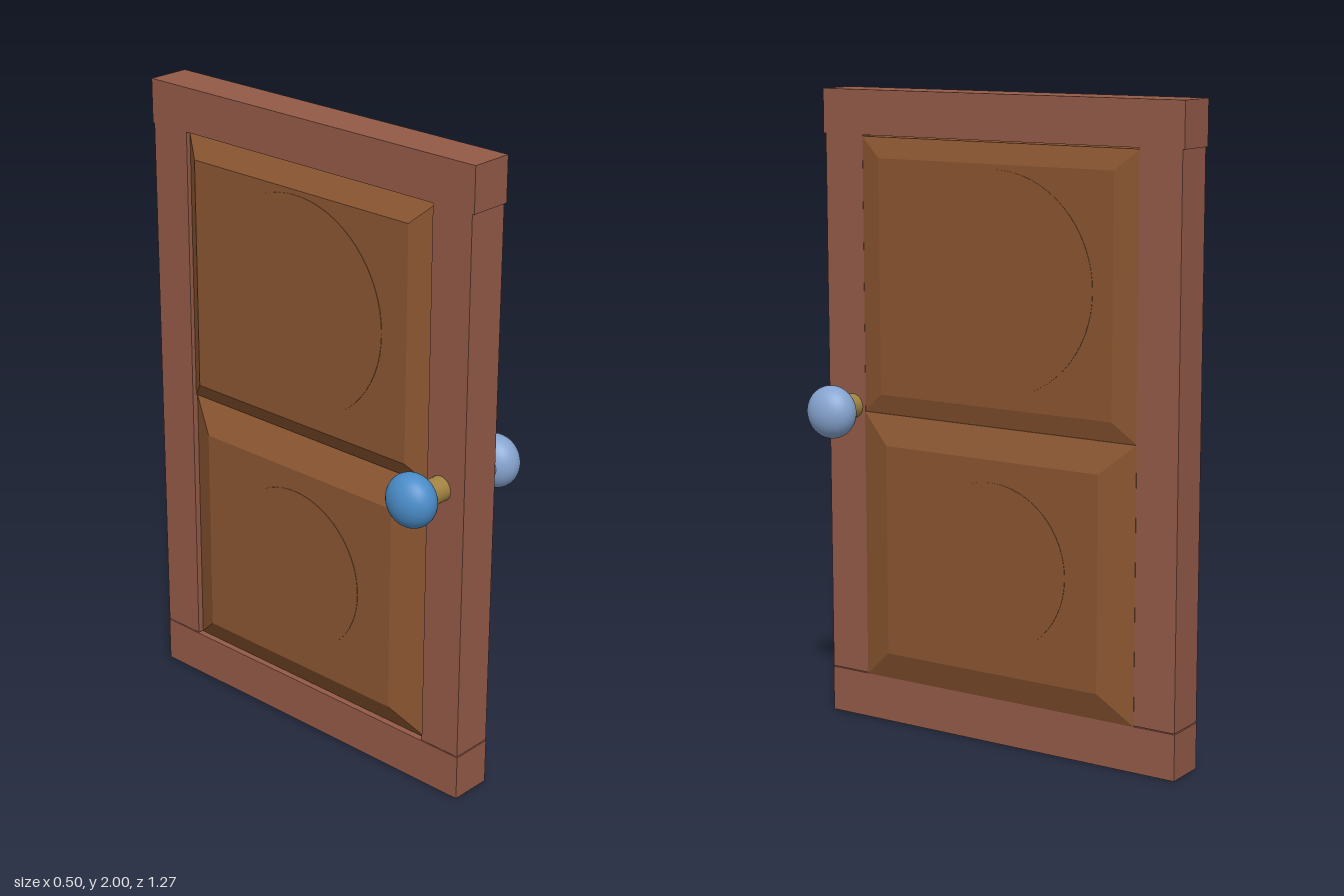
import * as THREE from 'three';

const material = (color, flatShading = false) => new THREE.MeshStandardMaterial({ color, flatShading });

export function createModel() {
  const door = new THREE.Group();
  door.name = 'door';
  const frameWood = material(0x935a48, true);
  const panelWood = material(0x8a5530, true);
  const brass = material(0xa38443);

  const add = (name, geometry, mat, x, y, z) => {
    const mesh = new THREE.Mesh(geometry, mat);
    mesh.name = name;
    mesh.position.set(x, y, z);
    door.add(mesh);
    return mesh;
  };

  // Frame: two rails and two stiles
  add('topRail', new THREE.BoxGeometry(0.138, 0.138, 1.27), frameWood, -0.002, 1.931, 0);
  add('bottomRail', new THREE.BoxGeometry(0.136, 0.144, 1.258), frameWood, -0.003, 0.072, 0);
  for (const side of [-1, 1]) {
    add(side > 0 ? 'frontStile' : 'backStile',
      new THREE.BoxGeometry(0.136, 1.715, 0.14), frameWood, -0.003, 1.0045, side * 0.558);
  }

  // Raised panel: a box whose outer faces are inset to form bevels
  const raisedPanel = (height, width, base, top, insetY, insetZ) => {
    const geometry = new THREE.BoxGeometry(Math.abs(top), height, width);
    const p = geometry.attributes.position;
    const outward = Math.sign(top);
    for (let i = 0; i < p.count; i++) {
      const outer = p.getX(i) * outward > 0;
      const y = p.getY(i), z = p.getZ(i);
      p.setXYZ(i, outer ? top : base,
        outer ? y - Math.sign(y) * insetY : y,
        outer ? z - Math.sign(z) * insetZ : z);
    }
    geometry.computeVertexNormals();
    return geometry;
  };

  // One panel and one flush disc per opening, on both faces of the door
  const openings = [
    { name: 'upper', y0: 1.0, y1: 1.858, inset: [0.063, 0.075], faces: [[0.064, 0.083], [-0.055, -0.1]], disc: [1.44, 0.34] },
    { name: 'lower', y0: 0.144, y1: 1.0, inset: [0.093, 0.108], faces: [[0.066, 0.103], [-0.05, -0.108]], disc: [0.575, 0.262] },
  ];
  for (const { name, y0, y1, inset, faces, disc } of openings) {
    const height = y1 - y0, width = 0.98;
    // Core that fills the opening between the two raised faces
    add(name + 'Core', new THREE.BoxGeometry(faces[0][0] - faces[1][0], height, width),
      panelWood, (faces[0][0] + faces[1][0]) / 2, (y0 + y1) / 2, 0);
    for (const [base, top] of faces) {
      const label = top > 0 ? 'Left' : 'Right';
      const insetZ = top > 0 || name === 'lower' ? inset[1] : 0.065;
      add(name + 'Panel' + label, raisedPanel(height, width, base, top, inset[0], insetZ),
        panelWood, 0, (y0 + y1) / 2, 0);
      const [discY, radius] = disc;
      add(name + 'Disc' + label, new THREE.CylinderGeometry(radius, radius, 0.01, 64),
        panelWood, top - Math.sign(top) * 0.0035, discY, -0.008).rotation.z = Math.PI / 2;
    }
  }

  // Spindle through the stile with a flattened knob at each end
  add('spindle', new THREE.CylinderGeometry(0.039, 0.039, 0.3, 32), brass, 0, 1.013, 0.538)
    .rotation.z = Math.PI / 2;
  for (const side of [-1, 1]) {
    const knob = add(side > 0 ? 'leftKnob' : 'rightKnob', new THREE.SphereGeometry(0.083, 40, 28),
      material(side > 0 ? 0x86a4d0 : 0x4a8cc8), side * 0.186, 1.013, 0.529);
    knob.scale.x = 0.77;
  }
  return door;
}
